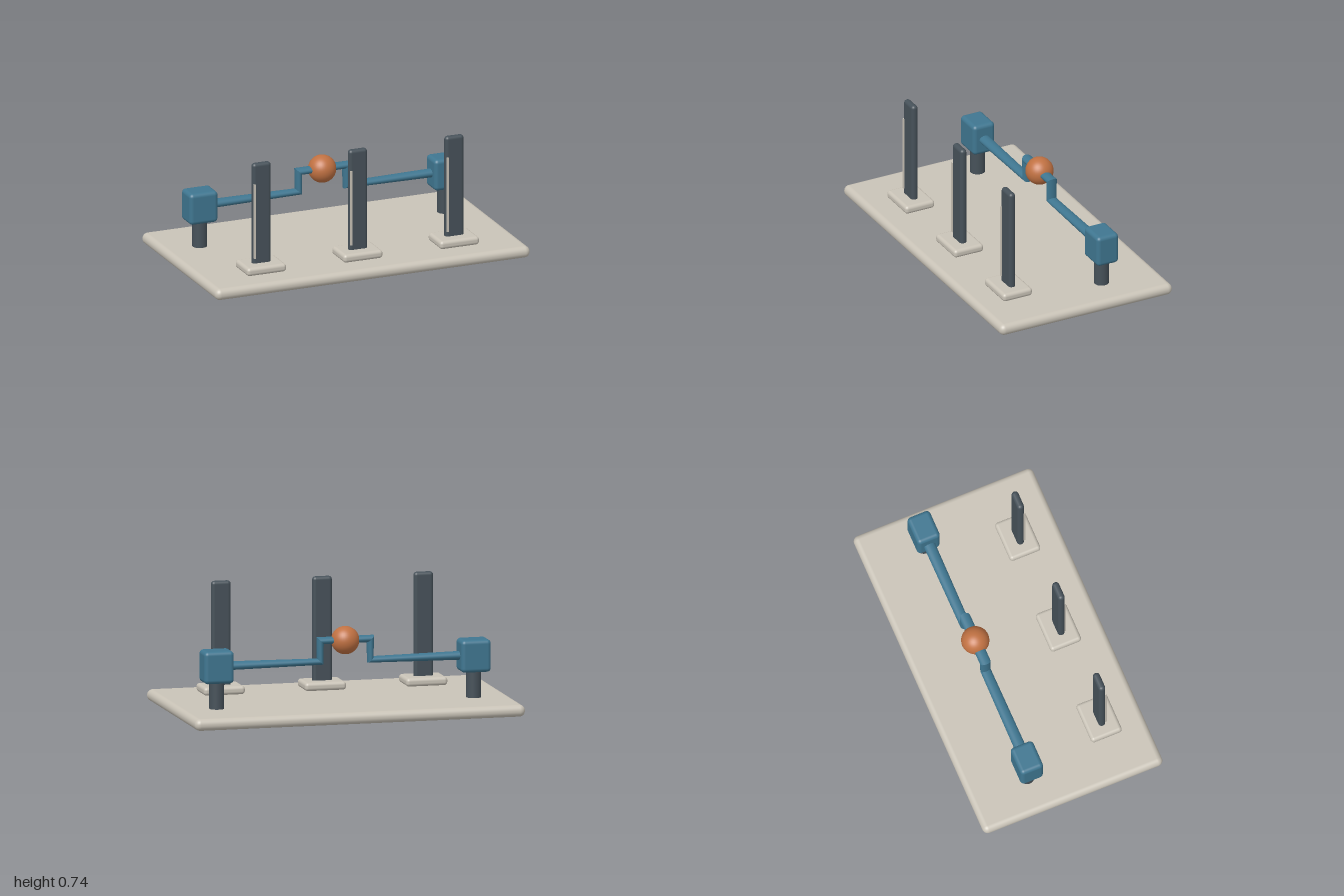
import * as THREE from 'three';
import { RoundedBoxGeometry } from 'three/addons/geometries/RoundedBoxGeometry.js';

const material = (name, color) => {
  const m = new THREE.MeshStandardMaterial({ color });
  m.name = name;
  return m;
};

// Mitred oval bar along one straight run of a path in the xy plane
function barGeometry(path, i, sides = 20) {
  const pos = [], index = [];
  const direction = (k) => path[k + 1].p.clone().sub(path[k].p).normalize();
  const normal = (k) => { const d = direction(k); return new THREE.Vector2(-d.y, d.x); };
  for (const k of [i, i + 1]) {
    const a = normal(Math.max(k - 1, 0));
    const b = normal(Math.min(k, path.length - 2));
    const miter = a.clone().add(b).divideScalar(1 + a.dot(b));
    const { p, h, w } = path[k];
    for (let s = 0; s < sides; s++) {
      const t = (s / sides) * Math.PI * 2;
      pos.push(p.x + miter.x * h * Math.cos(t), p.y + miter.y * h * Math.cos(t), w * Math.sin(t));
    }
  }
  for (let s = 0; s < sides; s++) {
    const n = (s + 1) % sides;
    index.push(s, s + sides, n, n, s + sides, n + sides);
  }
  const g = new THREE.BufferGeometry();
  g.setAttribute('position', new THREE.Float32BufferAttribute(pos, 3));
  g.setIndex(index);
  g.computeVertexNormals();
  return g;
}

export function createModel() {
  const model = new THREE.Group();
  model.name = 'crankRig';
  const stone = material('warm stone', 0xc9c3b7);
  const slate = material('dark slate', 0x465159);
  const blue = material('steel blue', 0x3f7690);
  const copper = material('copper', 0xc07142);
  blue.side = THREE.DoubleSide;

  const add = (parent, name, geometry, mat, x, y, z) => {
    const mesh = new THREE.Mesh(geometry, mat);
    mesh.name = name;
    mesh.position.set(x, y, z);
    parent.add(mesh);
    return mesh;
  };
  const box = (w, h, d, r) => new RoundedBoxGeometry(w, h, d, 5, r);

  // Base plate
  add(model, 'basePlate', box(2, 0.07, 1.14, 0.034), stone, 0, 0.035, 0);

  // Three upright blades on pads, each with a narrow strip on its front edge
  for (const x of [-0.613, 0, 0.613]) {
    const post = new THREE.Group();
    post.name = 'post';
    post.position.set(x, 0, 0.32);
    add(post, 'postPad', box(0.25, 0.05, 0.194, 0.02), stone, 0, 0.094, 0);
    add(post, 'postBlade', box(0.118, 0.64, 0.042, 0.02), slate, 0, 0.415, 0);
    add(post, 'postStrip', new THREE.BoxGeometry(0.012, 0.46, 0.012), stone, -0.048, 0.38, 0.021);
    model.add(post);
  }

  // Bearing blocks on round legs
  const axleZ = -0.208;
  for (const side of [-1, 1]) {
    add(model, 'bearingLeg', new THREE.CylinderGeometry(0.044, 0.044, 0.18, 32), slate, side * 0.778, 0.155, axleZ);
    add(model, 'bearingBlock', box(0.18, 0.192, 0.143, 0.024), blue, side * 0.778, 0.321, axleZ);
  }

  // Cranked shaft: slightly tapered arms, risers and a raised middle
  const half = [[0.72, 0.321, 0.026, 0.035], [0.152, 0.321, 0.0185, 0.031], [0.152, 0.445, 0.021, 0.033]];
  const point = ([x, y, h, w], s) => ({ p: new THREE.Vector2(s * x, y), h, w });
  const path = [...half.map((q) => point(q, -1)), ...half.slice().reverse().map((q) => point(q, 1))];
  const shaft = new THREE.Group();
  shaft.name = 'crankShaft';
  for (let i = 0; i < path.length - 1; i++) {
    add(shaft, 'shaftRun', barGeometry(path, i), blue, 0, 0, axleZ);
  }
  model.add(shaft);

  // Ball on the crank pin
  add(model, 'crankBall', new THREE.SphereGeometry(0.083, 40, 24), copper, 0, 0.442, axleZ);

  return model;
}
